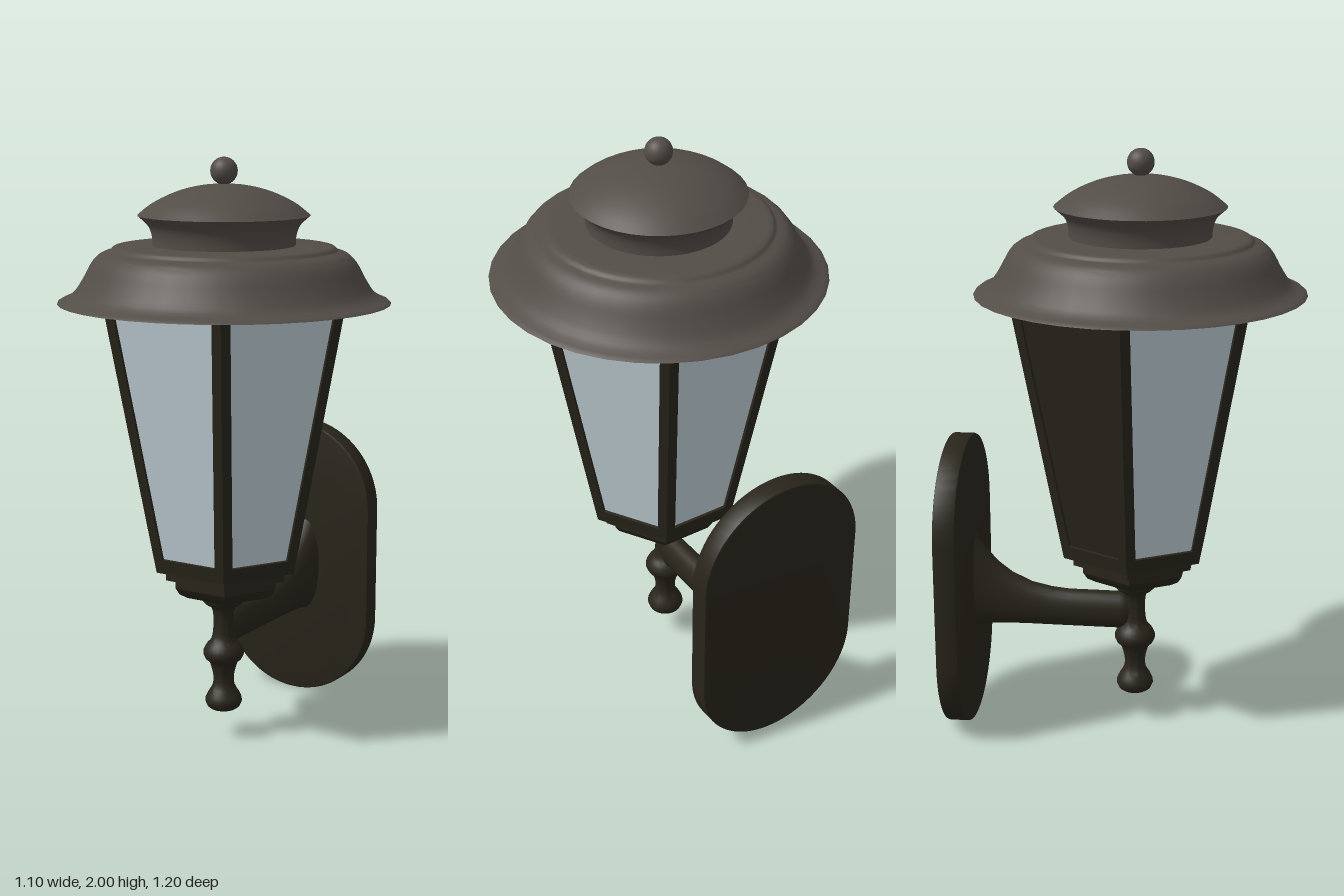
import * as THREE from 'three';
import { toCreasedNormals } from 'three/addons/utils/BufferGeometryUtils.js';

const material = (color, opts = {}) => new THREE.MeshStandardMaterial({ color, ...opts });
const roofMat = material(0x534d47, { side: THREE.DoubleSide });
const ironMat = material(0x29251b);
const glassMat = material(0xc4d3da, { side: THREE.DoubleSide });

function add(parent, name, geometry, mat) {
  const mesh = new THREE.Mesh(geometry, mat);
  mesh.name = name;
  parent.add(mesh);
  return mesh;
}

// Turned part: profile of [radius, height], listed bottom to top
function turned(profile, segments, crease, phiStart = 0) {
  const points = profile.map(([r, y]) => new THREE.Vector2(r, y));
  return toCreasedNormals(new THREE.LatheGeometry(points, segments, phiStart), crease);
}

function smoothProfile(profile, divisions) {
  const curve = new THREE.SplineCurve(profile.map(([r, y]) => new THREE.Vector2(r, y)));
  return curve.getPoints(divisions).map((p) => [Math.max(p.x, 0), p.y]);
}

// Symmetric trapezoid outline
function trapezoid(Path, y0, half0, y1, half1) {
  const path = new Path();
  path.moveTo(-half0, y0);
  path.lineTo(half0, y0);
  path.lineTo(half1, y1);
  path.lineTo(-half1, y1);
  path.closePath();
  return path;
}

function createRoof() {
  const roof = new THREE.Group();
  roof.name = 'roof';
  roof.position.z = 0.047;
  // Bell-shaped brim with a softly stepped shoulder
  const brim = [
    [0.55, 1.528],
    ...smoothProfile([[0.545, 1.533], [0.5, 1.556], [0.467, 1.602], [0.438, 1.655], [0.41, 1.685], [0.378, 1.697]], 16),
    [0.372, 1.7], [0.369, 1.706], [0.362, 1.711], [0.345, 1.713], [0.225, 1.715],
  ];
  add(roof, 'brim', turned(brim, 36, 1.2), roofMat);
  // Flared neck and domed cap
  const neck = smoothProfile([[0.235, 1.71], [0.237, 1.745], [0.25, 1.78], [0.284, 1.812]], 10);
  add(roof, 'neck', turned(neck, 36, 0.7), roofMat);
  const cap = smoothProfile([[0.284, 1.812], [0.235, 1.85], [0.16, 1.886], [0.08, 1.907], [0, 1.914]], 14);
  add(roof, 'cap', turned(cap, 36, 0.7), roofMat);
  add(roof, 'finial', new THREE.SphereGeometry(0.045, 24, 16), roofMat).position.y = 1.955;
  return roof;
}

function createLantern() {
  const lantern = new THREE.Group();
  lantern.name = 'lantern';
  lantern.position.z = 0.032;
  const bottomY = 0.63, bottomR = 0.265, height = 0.93, flare = 0.2;
  const apothem = Math.cos(Math.PI / 6);
  const tilt = Math.atan(flare * apothem);
  const slant = height / Math.cos(tilt);
  const half = (s) => (bottomR + flare * s * Math.cos(tilt)) / 2;
  const rail = 0.05, stile = 0.034, top = slant - 0.045;

  // Six leaning frames, each with a pane; one rear side holds a solid panel
  const frame = trapezoid(THREE.Shape, 0, half(0), slant, half(slant));
  frame.holes.push(trapezoid(THREE.Path, rail, half(rail) - stile, top, half(top) - stile));
  const frameGeo = new THREE.ExtrudeGeometry(frame, { depth: 0.02, bevelEnabled: false });
  frameGeo.translate(0, 0, -0.02);
  const paneGeo = new THREE.ShapeGeometry(
    trapezoid(THREE.Shape, 0.03, half(0.03) - 0.02, slant - 0.02, half(slant) - 0.03));
  paneGeo.translate(0, 0, -0.01);
  for (let k = 0; k < 6; k++) {
    const side = new THREE.Group();
    side.name = 'lanternSide';
    side.rotation.y = (k * Math.PI) / 3;
    lantern.add(side);
    const leaf = new THREE.Group();
    leaf.name = 'leaf';
    leaf.position.set(0, bottomY, bottomR * apothem);
    leaf.rotation.x = tilt;
    side.add(leaf);
    add(leaf, 'frame', frameGeo, ironMat);
    const solid = k === 4;
    add(leaf, solid ? 'rearPanel' : 'glassPane', paneGeo, solid ? ironMat : glassMat);
  }

  // Stepped hexagonal base
  const base = [[0, 0.518], [0.12, 0.518], [0.15, 0.525], [0.18, 0.542], [0.195, 0.565],
    [0.195, 0.598], [0.23, 0.598], [0.23, 0.628], [0.262, 0.63], [0.262, 0.636], [0, 0.636]];
  add(lantern, 'base', turned(base, 6, 0.5, Math.PI / 2), ironMat);
  return lantern;
}

// Baluster-like stem below the lantern
function createStem() {
  const profile = [
    [0, 0.103], [0.045, 0.105],
    ...smoothProfile([[0.056, 0.113], [0.064, 0.135], [0.055, 0.16], [0.038, 0.19], [0.036, 0.225],
      [0.045, 0.262], [0.05, 0.275]], 14),
    ...smoothProfile([[0.062, 0.285], [0.071, 0.308], [0.06, 0.335], [0.043, 0.355], [0.036, 0.39],
      [0.036, 0.45], [0.045, 0.475]], 14),
    [0.06, 0.482], [0.074, 0.497], [0.075, 0.515], [0.06, 0.525],
  ];
  const stem = new THREE.Mesh(turned(profile, 28, 0.8), ironMat);
  stem.name = 'stem';
  stem.position.set(-0.013, 0, 0.032);
  return stem;
}

// Oval arm that flares upward into the wall plate: [z, low y, high y, half width]
function createArm() {
  const sections = [
    [0.03, 0.36, 0.44, 0.02], [0.005, 0.342, 0.458, 0.036], [-0.02, 0.335, 0.468, 0.045],
    [-0.2, 0.335, 0.468, 0.046], [-0.26, 0.335, 0.474, 0.046], [-0.33, 0.335, 0.49, 0.047],
    [-0.4, 0.334, 0.523, 0.049], [-0.45, 0.331, 0.562, 0.051], [-0.49, 0.327, 0.608, 0.055],
    [-0.515, 0.322, 0.645, 0.06], [-0.535, 0.318, 0.675, 0.064],
  ];
  const n = 24, positions = [], index = [];
  sections.forEach(([z, low, high, w], i) => {
    for (let j = 0; j < n; j++) {
      const t = (j / n) * Math.PI * 2;
      positions.push(w * Math.cos(t), (low + high) / 2 + ((high - low) / 2) * Math.sin(t), z);
      if (i === sections.length - 1) continue;
      const a = i * n + j, b = i * n + ((j + 1) % n);
      index.push(a, a + n, b, b, a + n, b + n);
    }
  });
  const geometry = new THREE.BufferGeometry();
  geometry.setAttribute('position', new THREE.Float32BufferAttribute(positions, 3));
  geometry.setIndex(index);
  geometry.computeVertexNormals();
  const arm = new THREE.Mesh(geometry, ironMat);
  arm.name = 'arm';
  arm.position.x = -0.013;
  return arm;
}

// Wall plate with semicircular ends
function createWallPlate() {
  const bevel = 0.006, r = 0.305 - bevel;
  const shape = new THREE.Shape();
  shape.absarc(0, 0.72, r, 0, Math.PI, false);
  shape.absarc(0, 0.305, r, Math.PI, Math.PI * 2, false);
  shape.closePath();
  const geometry = new THREE.ExtrudeGeometry(shape, {
    depth: 0.075 - 2 * bevel, bevelSize: bevel, bevelThickness: bevel, bevelSegments: 2, curveSegments: 24,
  });
  const plate = new THREE.Mesh(toCreasedNormals(geometry, 0.5), ironMat);
  plate.name = 'wallPlate';
  plate.position.set(-0.055, 0, -0.6 + bevel);
  return plate;
}

export function createModel() {
  const lamp = new THREE.Group();
  lamp.name = 'wallLantern';
  lamp.add(createRoof(), createLantern(), createStem(), createArm(), createWallPlate());
  return lamp;
}
